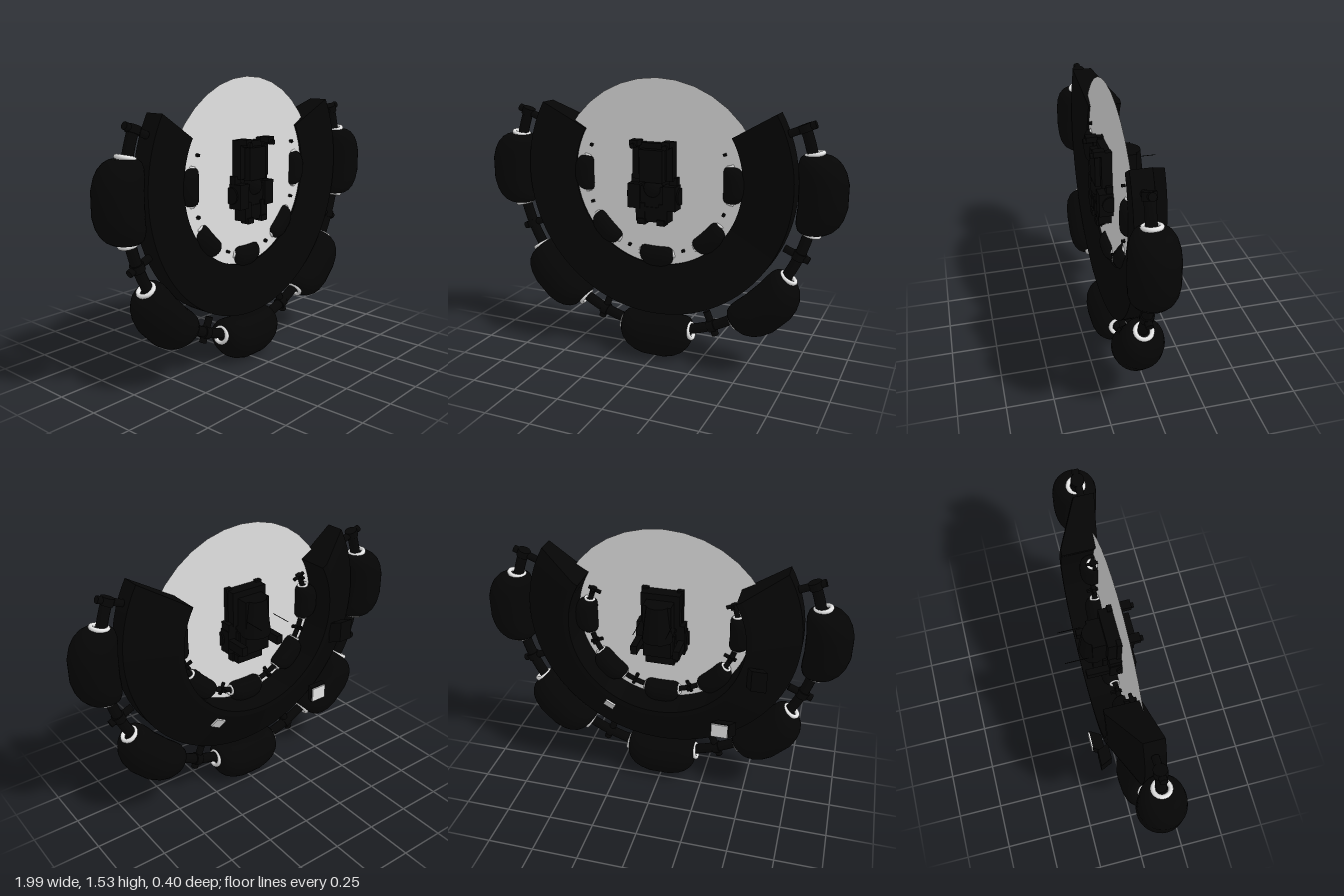
import * as THREE from 'three';
import { toCreasedNormals } from 'three/addons/utils/BufferGeometryUtils.js';

const black = new THREE.MeshStandardMaterial({ color: 0x050505, side: THREE.DoubleSide });
black.name = 'black';
const white = new THREE.MeshStandardMaterial({ color: 0xe8e8e8 });
white.name = 'white';
const paleGrey = new THREE.MeshStandardMaterial({ color: 0xe2e2e2, side: THREE.DoubleSide });
paleGrey.name = 'pale grey';

const rad = THREE.MathUtils.degToRad;

function add(parent, name, geometry, material, x = 0, y = 0, z = 0) {
  const mesh = new THREE.Mesh(geometry, material);
  mesh.name = name;
  mesh.position.set(x, y, z);
  parent.add(mesh);
  return mesh;
}
const box = (parent, name, w, h, d, x, y, z, material = black) =>
  add(parent, name, new THREE.BoxGeometry(w, h, d), material, x, y, z);

// Group on a circle: local x points outward, local y along the circle
function onCircle(parent, name, degrees, radius) {
  const g = new THREE.Group();
  g.name = name;
  g.position.set(Math.cos(rad(degrees)) * radius, Math.sin(rad(degrees)) * radius, 0);
  g.rotation.z = rad(degrees);
  parent.add(g);
  return g;
}

// Rounded barrel with its ends bent inward
function podGeometry(radius, half, bend) {
  const profile = [[0, -1], [0.4, -1], [0.58, -0.98], [0.74, -0.91], [0.88, -0.77], [0.96, -0.58], [1, -0.3],
    [1, 0.3], [0.96, 0.58], [0.88, 0.77], [0.74, 0.91], [0.58, 0.98], [0.4, 1], [0, 1]]
    .map(([r, y]) => new THREE.Vector2(r * radius, y * half));
  const geo = new THREE.LatheGeometry(profile, 32);
  const p = geo.attributes.position;
  for (let i = 0; i < p.count; i++) {
    p.setX(i, p.getX(i) - bend * (p.getY(i) / half) ** 2);
  }
  return toCreasedNormals(geo, 0.7);
}

// Five pods, joined by a pipe with cross bars and collars
function podRing(o) {
  const ring = new THREE.Group();
  ring.name = o.name;
  const podGeo = podGeometry(o.podRadius, o.podHalf, o.podCircle - o.pipeCircle);
  const collarGeo = new THREE.TorusGeometry(o.collar, o.collar * 0.3, 8, 20).rotateX(Math.PI / 2);
  const collarAngle = THREE.MathUtils.radToDeg(Math.atan((o.podHalf + o.collar * 0.15) / o.pipeCircle));
  for (let i = 0; i < 5; i++) {
    const angle = 180 + i * 45;
    add(onCircle(ring, 'podMount', angle, o.podCircle), 'pod', podGeo, black);
    for (const s of [-1, 1]) {
      const radius = o.pipeCircle / Math.cos(rad(collarAngle)) - o.collar * 0.3;
      add(onCircle(ring, 'collarMount', angle + s * collarAngle, radius), 'collar', collarGeo, white);
    }
  }
  const pipe = add(ring, 'pipe', new THREE.TorusGeometry(o.pipeCircle, o.pipe, 12, 80, rad(226)), black);
  pipe.rotation.z = rad(157);
  for (let i = 0; i < 6; i++) {
    const mount = onCircle(ring, 'crossBarMount', 157.5 + i * 45, o.pipeCircle);
    const bar = new THREE.CylinderGeometry(o.pipe * 0.7, o.pipe * 0.7, o.bar, 12).rotateZ(Math.PI / 2);
    add(mount, 'crossBar', bar, black, -o.bar * 0.1);
    add(mount, 'pipeSleeve', new THREE.CylinderGeometry(o.pipe * 1.25, o.pipe * 1.25, o.pipe * 1.4, 14), black);
  }
  return ring;
}

// Horseshoe hull: dished front, sloped back, flat ends
function createHull() {
  const hull = new THREE.Group();
  hull.name = 'hull';
  const section = [[0.475, -0.09], [0.505, -0.09], [0.745, 0.03], [0.745, 0.135], [0.475, 0.095], [0.475, -0.09]]
    .map(([r, z]) => new THREE.Vector2(r, z));
  const body = new THREE.LatheGeometry(section, 72, rad(-120), rad(240)).rotateX(Math.PI / 2);
  add(hull, 'hullBody', toCreasedNormals(body, 0.3), black);
  for (const angle of [30, 150]) {
    const end = new THREE.ShapeGeometry(new THREE.Shape(section)).rotateX(Math.PI / 2).rotateZ(rad(angle));
    add(hull, 'hullEnd', end, black);
  }
  return hull;
}

// Slanted fin standing on the back
function fin(parent, x, y, w, h, lean) {
  const geo = new THREE.BoxGeometry(w, h, 0.06);
  const p = geo.attributes.position;
  for (let i = 0; i < p.count; i++) {
    if (p.getZ(i) < 0) {
      p.setX(i, p.getX(i) + lean);
      p.setY(i, p.getY(i) + Math.abs(lean) * 0.6);
    }
  }
  geo.computeVertexNormals();
  add(parent, 'backFin', geo, black, x, y, -0.113);
}

// Central machine: twin columns, shoulders, legs, barrels
function createCore() {
  const core = new THREE.Group();
  core.name = 'coreMachine';
  box(core, 'torso', 0.15, 0.3, 0.15, 0, 1.02, 0.02);
  box(core, 'upperFrame', 0.21, 0.19, 0.11, 0, 1.11, 0.07);
  box(core, 'frontPanel', 0.13, 0.17, 0.05, 0, 1.09, 0.14);
  box(core, 'pelvis', 0.17, 0.14, 0.15, 0, 0.91, 0.07);
  box(core, 'lowerBlock', 0.16, 0.08, 0.14, 0, 0.83, 0.08);
  const pack = add(core, 'backPack', new THREE.CylinderGeometry(0.06, 0.085, 0.2, 12), black, 0, 1.07, -0.04);
  pack.scale.z = 0.85;
  add(core, 'head', new THREE.SphereGeometry(0.05, 16, 12), black, 0, 0.97, 0.13);
  for (const s of [-1, 1]) {
    box(core, 'column', 0.035, 0.2, 0.08, s * 0.095, 1.115, 0.1);
    box(core, 'columnCap', 0.045, 0.03, 0.06, s * 0.09, 1.208, 0.15);
    box(core, 'shoulder', 0.07, 0.13, 0.14, s * 0.1, 0.925, 0.09);
    add(core, 'shoulderJoint', new THREE.CylinderGeometry(0.045, 0.045, 0.03, 14).rotateZ(Math.PI / 2),
      black, s * 0.13, 0.93, 0.1);
    box(core, 'upperArm', 0.045, 0.06, 0.1, s * 0.108, 1.0, 0.07);
    box(core, 'leg', 0.05, 0.1, 0.11, s * 0.065, 0.84, 0.1);
    box(core, 'foot', 0.045, 0.03, 0.05, s * 0.055, 0.792, 0.14);
    add(core, 'barrel', new THREE.CylinderGeometry(0.014, 0.014, 0.1, 10).rotateX(Math.PI / 2),
      black, s * 0.09, 1.195, 0.145);
    box(core, 'rearArm', 0.035, 0.05, 0.14, s * 0.115, 0.92, -0.03);
    add(core, 'antenna', new THREE.CylinderGeometry(0.002, 0.002, 0.12, 6).rotateX(Math.PI / 2),
      black, s * 0.085, 1.075, -0.14);
  }
  return core;
}

export function createModel() {
  const model = new THREE.Group();
  model.name = 'horseshoeCraft';

  const hull = createHull();
  hull.position.y = 1.015;
  model.add(hull);

  // Thin round screen set behind the front of the hull
  const screen = add(model, 'screen', new THREE.CircleGeometry(0.6, 36), paleGrey, 0, 0.935, 0.085);
  screen.rotation.z = Math.PI / 2;

  const outer = podRing({ name: 'outerPods', podRadius: 0.12, podHalf: 0.195, podCircle: 0.88,
    pipeCircle: 0.838, pipe: 0.028, bar: 0.14, collar: 0.041 });
  outer.position.set(0, 1.003, 0.08);
  model.add(outer);

  const inner = podRing({ name: 'innerPods', podRadius: 0.062, podHalf: 0.095, podCircle: 0.43,
    pipeCircle: 0.412, pipe: 0.014, bar: 0.07, collar: 0.024 });
  inner.position.set(0, 1.01, 0.063);
  model.add(inner);
  for (let i = 0; i < 6; i++) {
    box(onCircle(inner, 'studMount', 157.5 + i * 45, 0.408), 'stud', 0.014, 0.014, 0.08, 0, 0, 0);
  }

  model.add(createCore());

  // Fins and white plates on the back
  fin(model, -0.53, 0.84, 0.08, 0.12, -0.03);
  fin(model, -0.4, 0.5, 0.1, 0.09, 0.03);
  box(model, 'finPlate', 0.09, 0.08, 0.008, -0.37, 0.518, -0.147, white);
  const mount = onCircle(model, 'plateMount', -61, 0.56);
  mount.position.y += 1.015;
  mount.position.z = -0.069;
  box(mount, 'backPlate', 0.06, 0.06, 0.009, 0, 0, 0, white).rotation.y = -Math.atan2(0.12, 0.24);
  return model;
}
